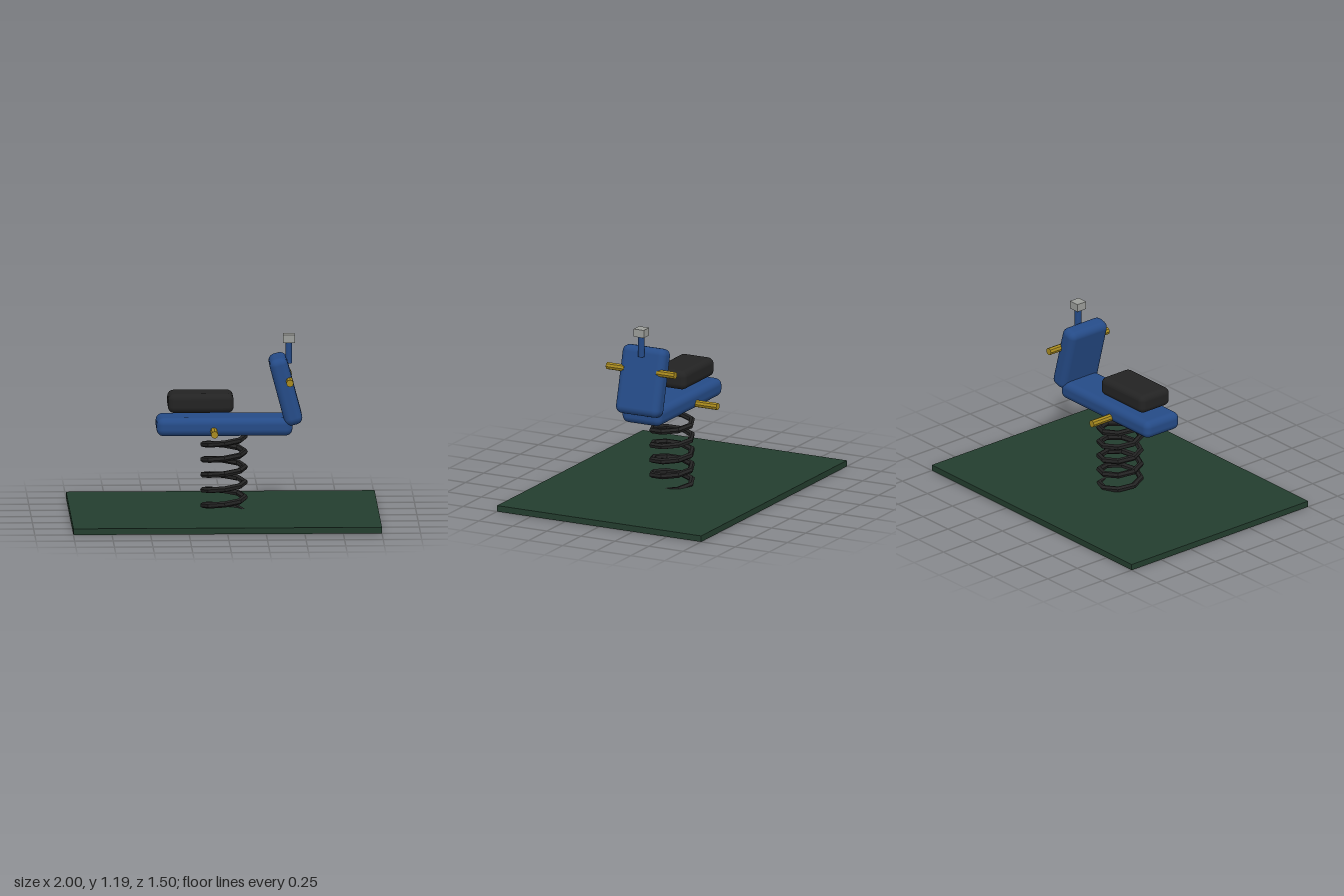
import * as THREE from 'three';
import { RoundedBoxGeometry } from 'three/addons/geometries/RoundedBoxGeometry.js';

function material(name, color, flatShading = false) {
  const m = new THREE.MeshStandardMaterial({ color, flatShading });
  m.name = name;
  return m;
}

// Rising coil that starts and ends on the +x side
class Helix extends THREE.Curve {
  constructor(radius, bottom, height, turns) {
    super();
    Object.assign(this, { radius, bottom, height, turns });
  }
  getPoint(t, target = new THREE.Vector3()) {
    const a = t * this.turns * Math.PI * 2;
    return target.set(Math.cos(a) * this.radius, this.bottom + t * this.height, -Math.sin(a) * this.radius);
  }
}

export function createModel() {
  const group = new THREE.Group();
  const green = material('dark green', 0x233d2e);
  const blue = material('blue', 0x254b87);
  const black = material('black', 0x232323);
  const coilBlack = material('black', 0x232323, true);
  const yellow = material('mustard yellow', 0xa88a1f, true);
  const grey = material('light grey', 0x9c9e9a);

  const add = (name, geometry, mat, x, y, z) => {
    const mesh = new THREE.Mesh(geometry, mat);
    mesh.name = name;
    mesh.position.set(x, y, z);
    group.add(mesh);
    return mesh;
  };

  // Ground plate and spring
  add('basePlate', new THREE.BoxGeometry(2, 0.04, 1.5), green, 0, 0.02, 0);
  const coil = new THREE.TubeGeometry(new Helix(0.135, 0.02, 0.5, 5), 40, 0.02, 6, false);
  coilBlack.side = THREE.DoubleSide;
  add('spring', coil, coilBlack, 0, 0, 0);

  // Body, seat and tilted front panel
  add('body', new RoundedBoxGeometry(0.88, 0.12, 0.29, 3, 0.045), blue, 0, 0.6, 0);
  add('seat', new RoundedBoxGeometry(0.425, 0.125, 0.25, 3, 0.04), black, -0.153, 0.752, 0);
  const panel = add('frontPanel', new RoundedBoxGeometry(0.12, 0.45, 0.32, 3, 0.045), blue, 0.398, 0.83, 0);
  panel.rotation.z = 0.26;

  // Post with its square cap
  add('post', new THREE.CylinderGeometry(0.022, 0.022, 0.15, 8), blue, 0.42, 1.075, 0);
  add('postCap', new THREE.BoxGeometry(0.075, 0.052, 0.075), grey, 0.42, 1.164, 0);

  // Hand grips and foot pegs on both sides
  const bar = (name, x, y, inner, outer) => {
    for (const side of [-1, 1]) {
      const g = new THREE.CylinderGeometry(0.024, 0.024, outer - inner, 8);
      g.rotateX(Math.PI / 2);
      add(name, g, yellow, x, y, side * (inner + outer) / 2);
    }
  };
  bar('handGrip', 0.42, 0.905, 0.12, 0.25);
  bar('footPeg', -0.07, 0.578, 0.12, 0.3);

  return group;
}
